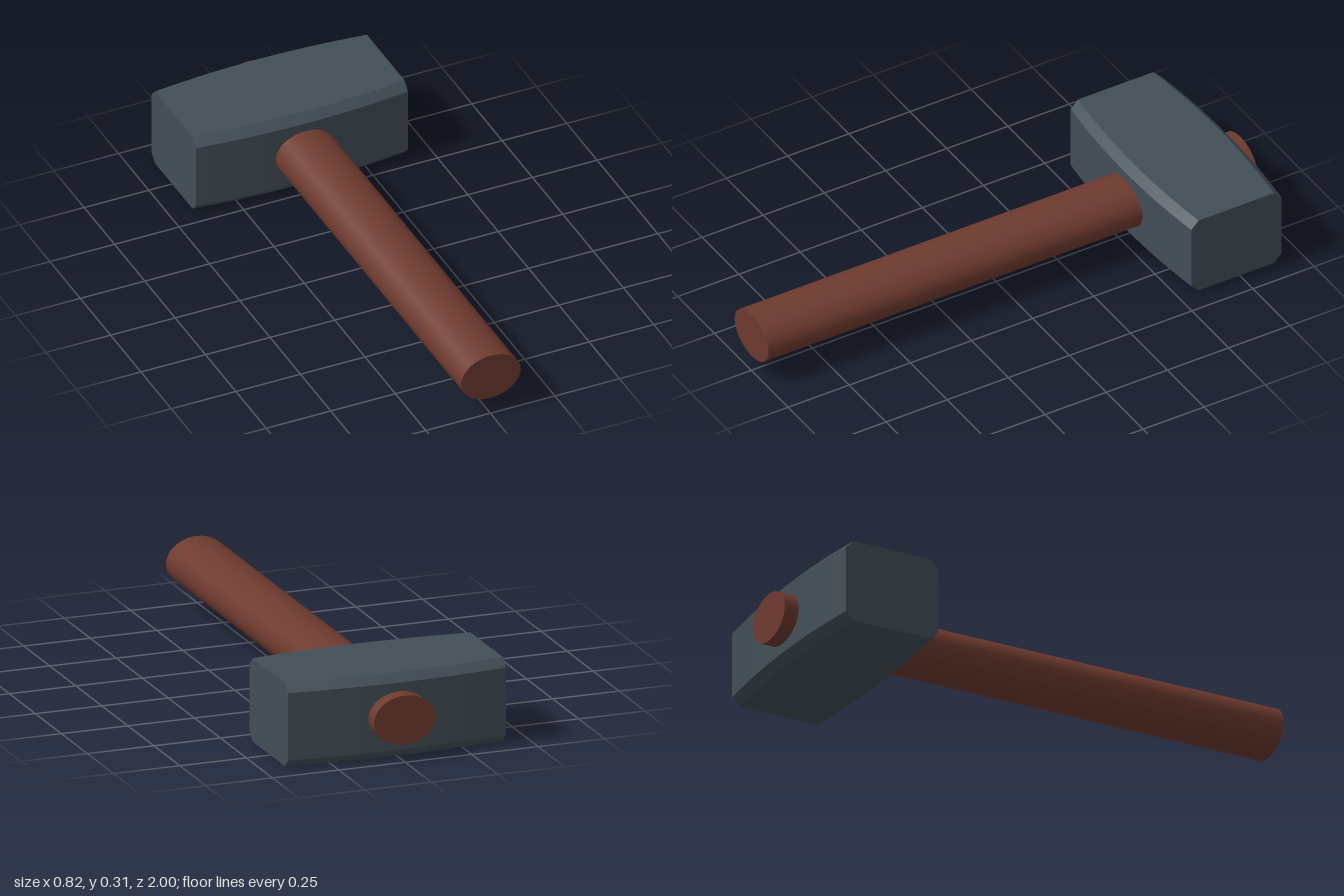
import * as THREE from 'three';
import { toCreasedNormals } from 'three/addons/utils/BufferGeometryUtils.js';

const HEAD = { half: 0.41, height: 0.307, z: -0.736, endDepth: 0.184, bulge: 0.026, chamfer: 0.03 };

// Chamfered block along x whose front and back swell toward the middle
function headGeometry() {
  const { half, height: h, endDepth: d, bulge, chamfer: c } = HEAD;
  const section = new THREE.Shape([
    [-d + c, 0], [d - c, 0], [d, c], [d, h - c],
    [d - c, h], [-d + c, h], [-d, h - c], [-d, c],
  ].map(([x, y]) => new THREE.Vector2(x, y)));
  const geo = new THREE.ExtrudeGeometry(section, { depth: 2 * half, steps: 24, bevelEnabled: false });
  geo.translate(0, 0, -half).rotateY(Math.PI / 2);
  const p = geo.attributes.position;
  for (let i = 0; i < p.count; i++) {
    const swell = bulge * (1 - (p.getX(i) / half) ** 2);
    p.setZ(i, p.getZ(i) + Math.sign(p.getZ(i)) * swell);
  }
  return toCreasedNormals(geo, 0.4);
}

export function createModel() {
  const group = new THREE.Group();
  group.name = 'hammer';

  const head = new THREE.Mesh(headGeometry(), new THREE.MeshStandardMaterial({ color: 0x434e57 }));
  head.name = 'head';
  head.position.z = HEAD.z;

  // Oval handle passing right through the head
  const handleGeo = new THREE.CylinderGeometry(1, 1, 2, 64);
  handleGeo.rotateX(Math.PI / 2).scale(0.115, 0.09, 1);
  const handle = new THREE.Mesh(handleGeo, new THREE.MeshStandardMaterial({ color: 0x6e3a2f }));
  handle.name = 'handle';
  handle.position.set(0.002, 0.155, 0);

  group.add(head, handle);
  return group;
}
